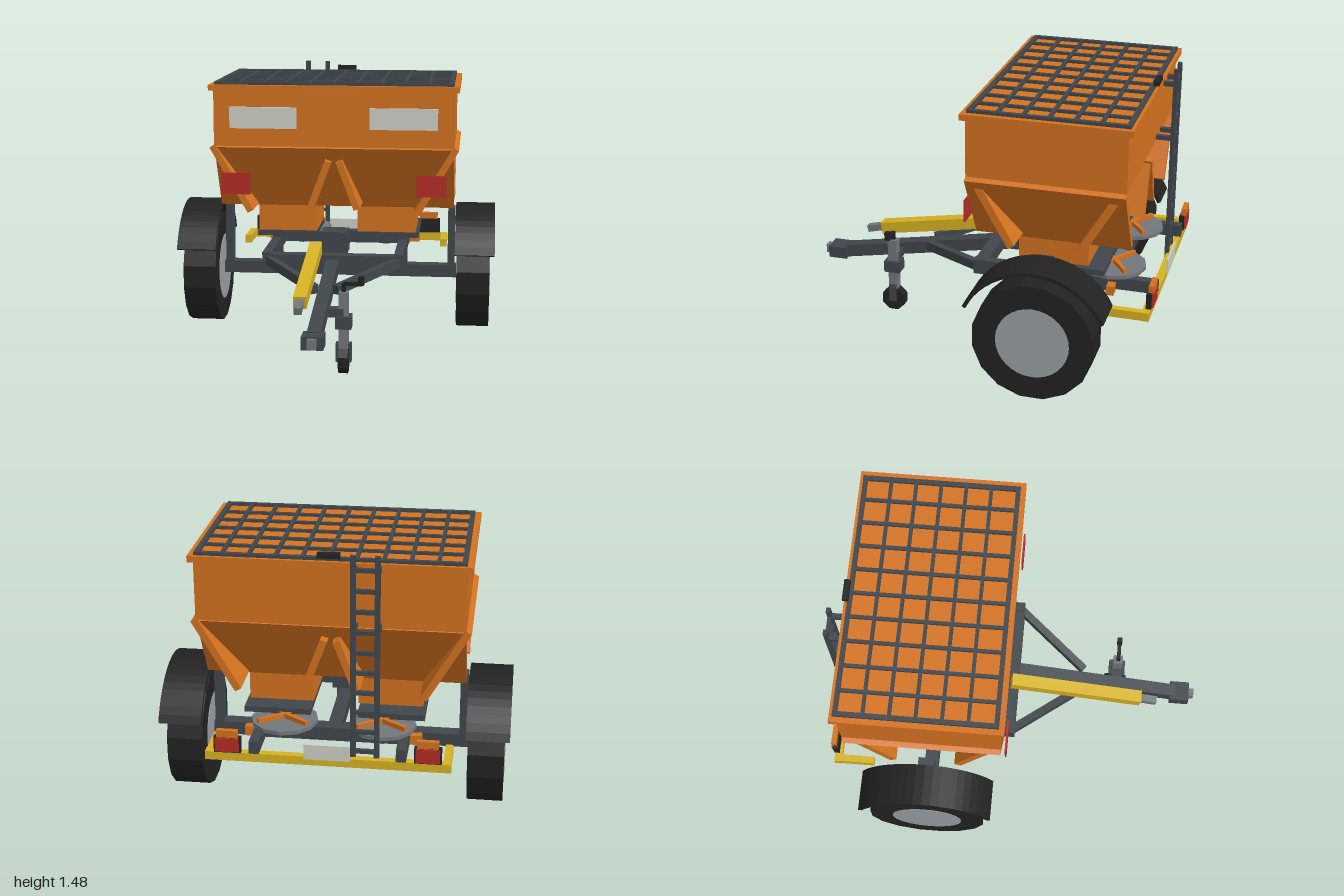
import * as THREE from 'three';

export function createModel() {
  const root = new THREE.Group();
  root.name = 'spreaderTrailer';
  const mat = (name, color) => {
    const m = new THREE.MeshStandardMaterial({ color });
    m.name = name;
    return m;
  };
  const orange = mat('orange paint', 0xd4721f);
  const steel = mat('dark steel', 0x40464b);
  const metal = mat('mid grey metal', 0x72777b);
  const rim = mat('wheel grey', 0x9aa0a5);
  const black = mat('black rubber', 0x222222);
  const yellow = mat('yellow paint', 0xd6b222);
  const red = mat('red reflector', 0xb52c25);
  const pale = mat('pale plate', 0xd0d0c8);
  const MID = -0.4525; // z of hopper and axle

  const add = (name, geo, m, x = 0, y = 0, z = 0) => {
    const mesh = new THREE.Mesh(geo, m);
    mesh.name = name;
    mesh.position.set(x, y, z);
    root.add(mesh);
    return mesh;
  };
  // box given by its limits on each axis
  const box = (name, m, x0, x1, y0, y1, z0, z1) =>
    add(name, new THREE.BoxGeometry(Math.abs(x1 - x0), y1 - y0, Math.abs(z1 - z0)), m,
      (x0 + x1) / 2, (y0 + y1) / 2, (z0 + z1) / 2);
  // box section running from a to b
  const beam = (name, m, a, b, w, h) => {
    const p = new THREE.Vector3(...a), q = new THREE.Vector3(...b);
    const mesh = add(name, new THREE.BoxGeometry(w, h, p.distanceTo(q)), m);
    mesh.position.copy(p).add(q).multiplyScalar(0.5);
    mesh.lookAt(q);
    return mesh;
  };
  const flatCylinder = (r, len, n, turn = 0) => {
    const g = new THREE.CylinderGeometry(r, r, len, n, 1, false, turn).toNonIndexed();
    g.computeVertexNormals();
    return g;
  };

  // hopper body and rim
  box('hopperBody', orange, -0.66, 0.66, 1.09, 1.4, -0.86, -0.045);
  box('hopperRim', orange, -0.685, 0.685, 1.395, 1.427, -0.885, -0.022);

  // sloping hopper walls: flat panels that cross at the corners
  for (const s of [-1, 1]) {
    beam('endSlope', orange, [0, 1.09, MID + s * 0.377], [0, 0.735, MID + s * 0.172], 1.32, 0.04);
    beam('sideSlope', orange, [s * 0.67, 1.087, MID], [s * 0.46, 0.725, MID], 0.815, 0.036);
    beam('innerSlope', orange, [s * 0.03, 1.01, MID], [s * 0.13, 0.745, MID], 0.815, 0.036);
    box('outlet', orange, s * 0.115, s * 0.445, 0.58, 0.75, -0.635, -0.265);
    box('slideGate', steel, s * 0.12, s * 0.46, 0.54, 0.57, -0.72, -0.3);
  }

  // top screen
  const y0 = 1.425, y1 = 1.443;
  for (const s of [-1, 1]) {
    box('screenFrameSide', steel, s * 0.63, s * 0.655, y0, y1, -0.868, -0.05);
    box('screenFrameEnd', steel, -0.655, 0.655, y0, y1, MID - 0.006 + s * 0.385, MID - 0.006 + s * 0.409);
  }
  for (let i = -4; i <= 4; i++)
    box('screenBar', steel, i * 0.13 - 0.009, i * 0.13 + 0.009, y0, y1 - 0.001, -0.86, -0.055);
  for (let i = -2; i <= 2; i++)
    box('screenCrossBar', steel, -0.65, 0.65, y0, y1 - 0.002, MID - 0.008 + i * 0.13 - 0.009, MID - 0.008 + i * 0.13 + 0.009);
  box('screenLatch', black, -0.055, 0.055, 1.445, 1.47, -0.89, -0.86);

  // front plates and reflectors
  for (const s of [-1, 1]) {
    box('frontPanel', pale, s * 0.2, s * 0.57, 1.19, 1.307, -0.038, -0.029);
    box('panelBacking', pale, s * 0.2, s * 0.57, 1.19, 1.307, -0.046, -0.038);
    box('frontReflector', red, s * 0.455, s * 0.62, 0.825, 0.943, -0.03, -0.021);
  }

  // wheels, mudguards and their posts
  const guard = new THREE.Shape();
  guard.absarc(0, 0, 0.398, 0.44, Math.PI - 0.44, false);
  guard.absarc(0, 0, 0.378, Math.PI - 0.44, 0.44, true);
  const guardGeo = new THREE.ExtrudeGeometry(guard, { depth: 0.22, bevelEnabled: false, curveSegments: 10 });
  guardGeo.translate(0, 0, -0.11).rotateY(Math.PI / 2);
  for (const s of [-1, 1]) {
    add('tyre', flatCylinder(0.316, 0.184, 16, Math.PI / 16), black, s * 0.772, 0.322, MID + 0.004).rotation.z = Math.PI / 2;
    add('wheelDisc', new THREE.CylinderGeometry(0.19, 0.19, 0.19, 32), rim, s * 0.772, 0.322, MID + 0.004).rotation.z = Math.PI / 2;
    add('mudguard', guardGeo, black, s * 0.78, 0.322, MID);
    box('mudguardPost', steel, s * 0.625, s * 0.665, 0.33, 0.7, -0.495, -0.41);
  }
  box('axle', steel, -0.675, 0.675, 0.29, 0.36, -0.49, -0.415);

  // chassis
  for (const s of [-1, 1]) {
    box('chassisRail', steel, s * 0.34, s * 0.39, 0.44, 0.505, -0.985, 0);
    box('axleMount', steel, s * 0.34, s * 0.39, 0.36, 0.44, -0.49, -0.415);
    box('hopperLeg', steel, s * 0.34, s * 0.39, 0.5, 0.59, -0.49, -0.42);
    beam('drawbarBrace', steel, [s * 0.36, 0.46, -0.02], [s * 0.055, 0.39, 0.36], 0.04, 0.05);
    // spinner disc with vanes
    add('spinnerDisc', flatCylinder(0.17, 0.02, 12), metal, s * 0.25, 0.515, -0.73);
    for (const r of [-0.6, 0.6])
      add('spinnerVane', new THREE.BoxGeometry(0.3, 0.025, 0.02), orange, s * 0.25, 0.537, -0.73).rotation.y = r;
    box('spinnerGuard', orange, s * 0.385, s * 0.45, 0.43, 0.48, -0.77, -0.73);
    add('spinnerShaft', new THREE.CylinderGeometry(0.03, 0.03, 0.1, 12), steel, s * 0.25, 0.47, -0.73);
  }
  for (const z of [-0.035, -0.73])
    box('crossMember', steel, -0.39, 0.39, 0.425, 0.495, z - 0.035, z + 0.035);
  box('centreBeam', steel, -0.035, 0.035, 0.42, 0.48, -0.73, 0);
  box('gearbox', steel, -0.075, 0.072, 0.48, 0.605, -0.25, -0.105);

  // drawbar, hitch and hydraulic ram
  beam('drawbar', steel, [0, 0.455, -0.1], [0, 0.272, 0.89], 0.07, 0.07);
  box('hitchBlock', steel, -0.055, 0.055, 0.235, 0.303, 0.865, 0.972);
  box('hitchTongue', metal, -0.022, 0.022, 0.245, 0.295, 0.97, 1);
  beam('ramBody', yellow, [-0.095, 0.53, -0.04], [-0.095, 0.4, 0.69], 0.068, 0.065);
  beam('ramRod', metal, [-0.095, 0.4, 0.69], [-0.095, 0.378, 0.78], 0.04, 0.038);

  // jockey wheel
  const jx = 0.116, jz = 0.552;
  add('jockeyWheel', flatCylinder(0.07, 0.05, 8, Math.PI / 8), black, jx, 0.068, jz).rotation.z = Math.PI / 2;
  for (const s of [-1, 1])
    box('jockeyFork', steel, jx + s * 0.03, jx + s * 0.04, 0.06, 0.16, jz - 0.02, jz + 0.02);
  box('jockeyForkTop', steel, jx - 0.04, jx + 0.04, 0.145, 0.16, jz - 0.02, jz + 0.02);
  box('jockeyInnerTube', metal, jx - 0.025, jx + 0.025, 0.13, 0.25, jz - 0.026, jz + 0.026);
  box('jockeyCollar', steel, jx - 0.042, jx + 0.042, 0.24, 0.305, jz - 0.045, jz + 0.045);
  box('jockeyOuterTube', metal, jx - 0.025, jx + 0.025, 0.3, 0.43, jz - 0.026, jz + 0.026);
  box('jockeyBracket', steel, 0, jx, 0.3, 0.345, jz - 0.03, jz + 0.03);
  box('crankStem', black, jx - 0.01, jx + 0.01, 0.42, 0.475, jz - 0.01, jz + 0.01);
  box('crankArm', black, jx, 0.21, 0.462, 0.48, jz - 0.01, jz + 0.01);
  box('crankHandle', black, 0.19, 0.22, 0.465, 0.51, jz - 0.014, jz + 0.014);

  // ladder
  for (const x of [-0.242, -0.125]) {
    box('ladderRail', steel, x - 0.013, x + 0.013, 0.385, 1.487, -0.958, -0.936);
    for (const y of [1.105, 1.405])
      box('ladderBracket', steel, x - 0.013, x + 0.013, y - 0.012, y + 0.012, -0.94, -0.855);
  }
  for (let i = 0; i < 10; i++)
    box('ladderRung', steel, -0.242, -0.125, 0.46 + i * 0.105, 0.48 + i * 0.105, -0.957, -0.937);

  // rear bumper, lamps and number plate
  box('bumperBar', yellow, -0.612, 0.612, 0.395, 0.44, -0.985, -0.945);
  for (const s of [-1, 1]) {
    box('bumperArm', yellow, s * 0.572, s * 0.61, 0.395, 0.44, -0.95, -0.765);
    box('lampHousing', black, s * 0.43, s * 0.565, 0.44, 0.525, -0.988, -0.96);
    box('rearLamp', red, s * 0.438, s * 0.557, 0.447, 0.52, -0.997, -0.988);
    box('indicator', orange, s * 0.443, s * 0.55, 0.525, 0.563, -0.995, -0.968);
  }
  box('rearPlate', pale, -0.115, 0.115, 0.43, 0.51, -0.993, -0.985);

  return root;
}
